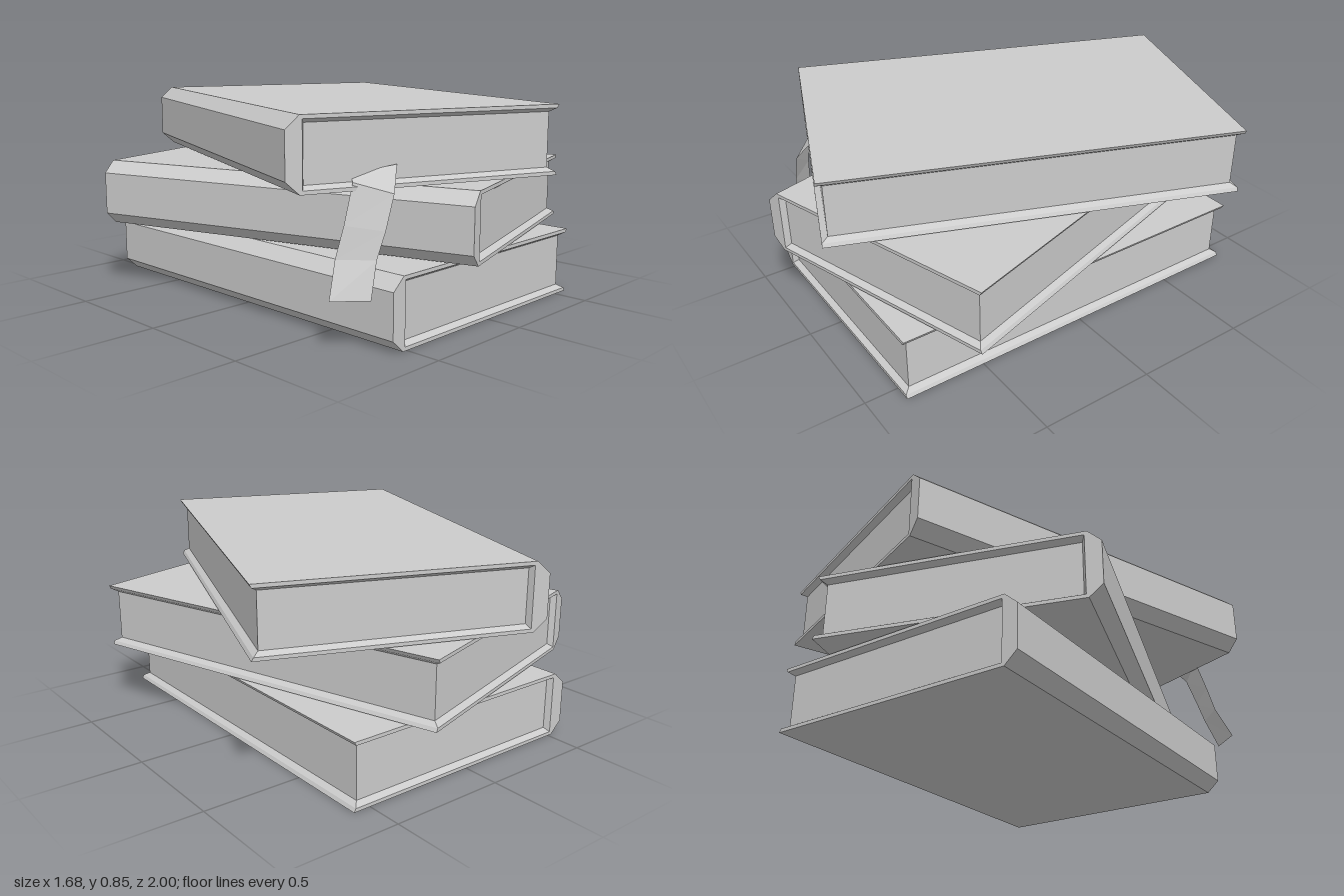
import * as THREE from 'three';

const H = 0.28, L = 0.85;            // book thickness, half length
const BACK = -0.575, FORE = 0.575;   // spine and fore-edge x
const mat = new THREE.MeshStandardMaterial({ color: 0xcccccc, flatShading: true, side: THREE.DoubleSide });

// Joins consecutive cross-sections (arrays of [x, y, z]) with flat quads
function loft(sections) {
  const pos = [];
  for (let i = 0; i < sections.length - 1; i++) {
    const a = sections[i], b = sections[i + 1];
    for (let j = 0; j < a.length - 1; j++) {
      pos.push(...a[j], ...a[j + 1], ...b[j + 1], ...a[j], ...b[j + 1], ...b[j]);
    }
  }
  const g = new THREE.BufferGeometry();
  g.setAttribute('position', new THREE.Float32BufferAttribute(pos, 3));
  g.computeVertexNormals();
  return g;
}

function mesh(geometry, name) {
  const m = new THREE.Mesh(geometry, mat);
  m.name = name;
  return m;
}

// C-shaped binding: two thin boards and a chamfered spine
function coverGeometry() {
  const t = 0.015;
  const shape = new THREE.Shape([
    [FORE, 0], [FORE - 0.008, t], [-0.51, t], [-0.51, H - t], [FORE - 0.008, H - t], [FORE, H],
    [BACK + 0.055, H], [BACK, H - 0.05], [BACK, 0.05], [BACK + 0.055, 0],
  ].map(([x, y]) => new THREE.Vector2(x, y)));
  const g = new THREE.ExtrudeGeometry(shape, { depth: 2 * L, bevelEnabled: false });
  return g.translate(0, 0, -L);
}

// Recessed paper block with a sloped lip running round its three open sides
function pagesGeometry() {
  const lip = 0.015, wall = 0.03, inset = 0.025;
  const section = (xo, zo, xi, zi, y) => [
    [xo, H - lip, zo], [xi, H - y, zi], [xi, y, zi], [xo, lip, zo],
  ];
  const half = (s) => [
    section(-0.51, s * L, -0.51, s * L, lip),
    section(-0.51, s * L, -0.497, s * (L - inset), wall),
    section(FORE - 0.008, s * L, FORE - 0.03, s * (L - inset), wall),
  ];
  return loft([...half(1), ...half(-1).reverse()]);
}

function makeBook(name, y, z, turn) {
  const book = new THREE.Group();
  book.name = name;
  book.add(mesh(coverGeometry(), 'cover'), mesh(pagesGeometry(), 'pages'));
  book.position.set(0, y, z);
  book.rotation.y = turn;
  return book;
}

export function createModel() {
  const group = new THREE.Group();
  group.name = 'bookStack';
  group.add(
    makeBook('bottomBook', 0, 0.005, 0),
    makeBook('middleBook', 0.285, 0.01, 0.3),
    makeBook('topBook', 0.57, -0.005, -0.361),
  );

  // Bookmark ribbon hanging from the top book
  group.add(mesh(loft([
    [[-0.73, 0.195, 0.69], [-0.62, 0.195, 0.79]],
    [[-0.67, 0.33, 0.66], [-0.57, 0.33, 0.77]],
    [[-0.635, 0.45, 0.67], [-0.535, 0.43, 0.78]],
    [[-0.59, 0.6, 0.67], [-0.49, 0.56, 0.78]],
    [[-0.57, 0.625, 0.64], [-0.42, 0.655, 0.73]],
  ]), 'ribbon'));
  return group;
}
